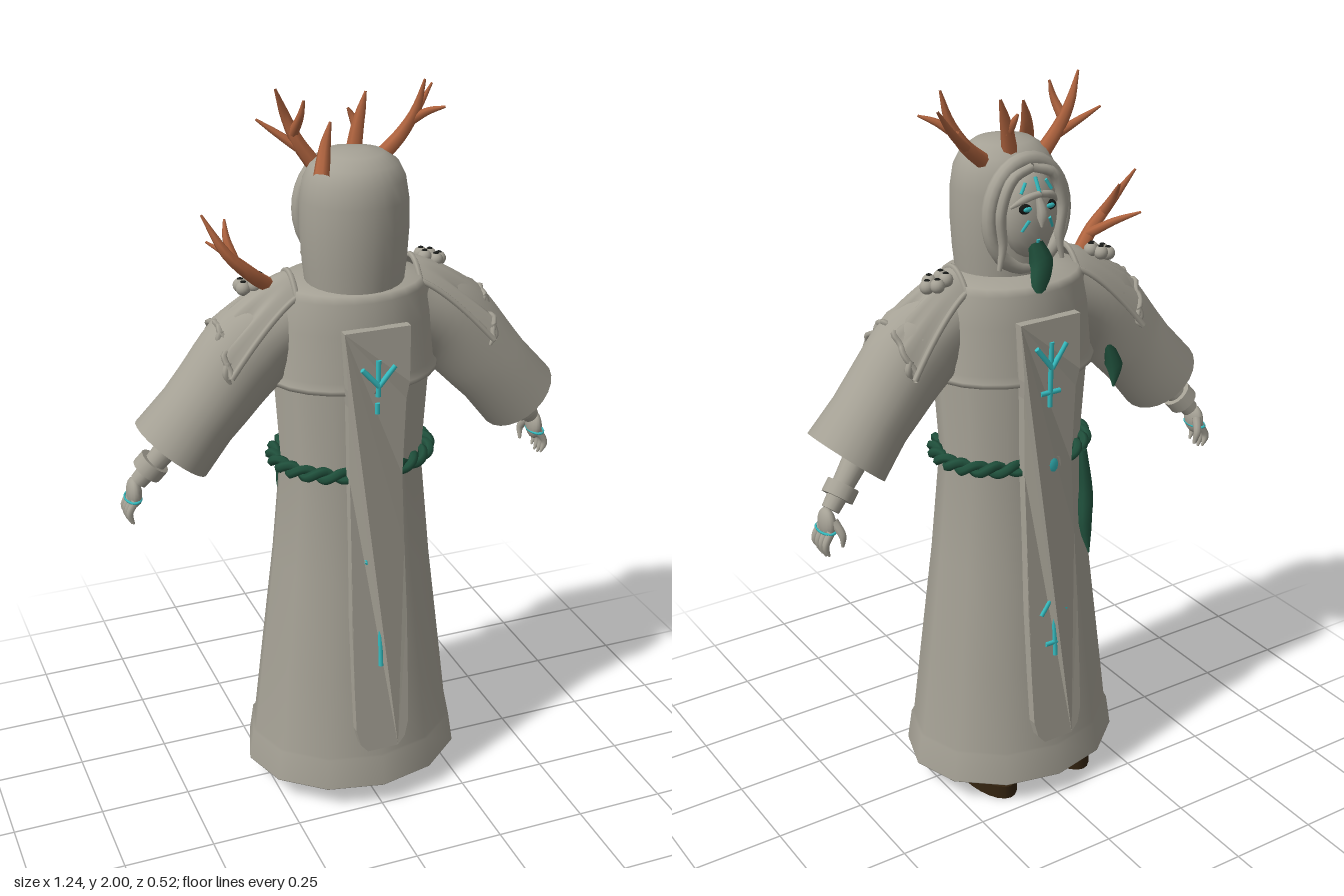
import * as THREE from 'three';

const V = (x, y, z) => new THREE.Vector3(x, y, z);
const mat = (name, color, side = THREE.FrontSide) => {
  const m = new THREE.MeshStandardMaterial({ color, side });
  m.name = name;
  return m;
};
// linear interpolation through [key, value] pairs, keys descending
function lerpTable(table, k) {
  for (let i = 1; i < table.length; i++) {
    const [a, va] = table[i - 1], [b, vb] = table[i];
    if (k >= b) return va + (vb - va) * Math.min(1, Math.max(0, (a - k) / (a - b)));
  }
  return table[table.length - 1][1];
}

// tube whose radius follows a list; flat squeezes each ring in z
function taper(points, radii, { steps = 10, sides = 8, flat = [1, 1] } = {}) {
  const curve = new THREE.CatmullRomCurve3(points.map(p => V(...p)));
  const g = new THREE.TubeGeometry(curve, steps, 1, sides);
  const pos = g.attributes.position, v = V(0, 0, 0);
  for (let i = 0; i <= steps; i++) {
    const t = i / steps, c = curve.getPointAt(t);
    const f = t * (radii.length - 1), k = Math.min(Math.floor(f), radii.length - 2);
    const r = THREE.MathUtils.lerp(radii[k], radii[k + 1], f - k);
    const zf = THREE.MathUtils.lerp(flat[0], flat[1], t);
    for (let j = 0; j <= sides; j++) {
      const n = i * (sides + 1) + j;
      v.fromBufferAttribute(pos, n).sub(c).multiplyScalar(r);
      pos.setXYZ(n, c.x + v.x, c.y + v.y, c.z + v.z * zf);
    }
  }
  return g;
}
function rod(a, b, r0, r1 = r0, sides = 8) {
  const p = V(...a), q = V(...b), d = q.clone().sub(p);
  const g = new THREE.CylinderGeometry(r1, r0, d.length(), sides);
  g.applyQuaternion(new THREE.Quaternion().setFromUnitVectors(V(0, 1, 0), d.normalize()));
  return g.translate(...p.add(q).multiplyScalar(0.5).toArray());
}
const ball = (c, s) => new THREE.SphereGeometry(1, 16, 12).scale(...s).translate(...c);
const lathe = (pts, seg, zs) => new THREE.LatheGeometry(pts.map(p => new THREE.Vector2(...p)), seg).scale(1, 1, zs);

export function createModel() {
  const root = new THREE.Group();
  root.name = 'hoodedFigure';
  const cloth = mat('stoneGrey', 0xa5a195, THREE.DoubleSide);
  const horn = mat('antlerBrown', 0xb0643f);
  const teal = mat('glowTeal', 0x35bcc0);
  const green = mat('mossGreen', 0x1f4f3b, THREE.DoubleSide);
  const sole = mat('darkLeather', 0x33230f);
  const dark = mat('hollowBlack', 0x161816);
  const group = (name, parent = root) => {
    const g = new THREE.Group();
    g.name = name;
    parent.add(g);
    return g;
  };
  const add = (name, geo, m, parent = root) => {
    const mesh = new THREE.Mesh(geo, m);
    mesh.name = name;
    parent.add(mesh);
    return mesh;
  };

  // robe with its hem band, and the short mantle over the chest
  add('robe', lathe([[0, 0.07], [0.31, 0.07], [0.31, 0.072], [0.297, 0.16], [0.29, 0.163], [0.262, 0.4],
    [0.226, 0.7], [0.198, 1.0], [0.214, 1.24], [0.19, 1.46]], 12, 0.84), cloth);
  add('mantle', lathe([[0.212, 1.25], [0.236, 1.246], [0.236, 1.258], [0.226, 1.275], [0.215, 1.4], [0.2, 1.48],
    [0.19, 1.5], [0.12, 1.51], [0, 1.515]], 24, 0.81), cloth);

  // long panels, bent to lie along the robe
  const panelZ = y => lerpTable([[1.42, 0.192], [1.27, 0.202], [1.22, 0.192], [1.0, 0.187], [0.6, 0.218], [0.19, 0.252]], y);
  const outline = [[0.09, 1.42], [0.085, 1.27], [0.08, 1.22], [0.074, 1.0], [0.076, 0.8], [0.08, 0.6], [0.079, 0.4],
    [0.077, 0.26], [0.066, 0.215], [0.045, 0.19]];
  const mirrored = outline.map(([x, y]) => [-x, y]).reverse();
  const panelShape = new THREE.Shape([...outline, ...mirrored].map(p => new THREE.Vector2(...p)));
  const runes = {
    back: [[0, 1.34, 0, 1.24], [-0.045, 1.32, 0, 1.27], [0.045, 1.32, 0, 1.27], [0, 1.22, 0, 1.19],
      [-0.035, 0.77, 0, 0.82], [0.035, 0.77, 0, 0.82], [-0.035, 0.77, 0, 0.72], [0.035, 0.77, 0, 0.72], [0, 0.59, 0, 0.45]],
    front: [[0, 1.36, 0, 1.18], [-0.045, 1.35, 0, 1.29], [0.045, 1.35, 0, 1.29], [-0.03, 1.22, 0.03, 1.22],
      [-0.035, 0.83, 0, 0.88], [0.035, 0.83, 0, 0.88], [-0.035, 0.83, 0, 0.78], [0.035, 0.83, 0, 0.78],
      [0, 0.63, 0, 0.45], [-0.04, 0.58, 0, 0.63], [0.04, 0.58, 0, 0.63], [-0.03, 0.49, 0.03, 0.49]],
  };
  for (const side of ['back', 'front']) {
    const p = group(side + 'Panel');
    if (side === 'front') p.rotation.y = Math.PI;
    const g = new THREE.ExtrudeGeometry(panelShape, { depth: 0.025, bevelEnabled: false });
    const pos = g.attributes.position;
    for (let i = 0; i < pos.count; i++) pos.setZ(i, pos.getZ(i) - 0.025 + panelZ(pos.getY(i)));
    g.computeVertexNormals();
    add('panelCloth', g, cloth, p);
    for (const [x, y, u, w] of runes[side]) {
      add('runeStroke', rod([x, y, panelZ(y)], [u, w, panelZ(w)], 0.007), teal, p);
    }
    if (side === 'front') {
      add('gemSetting', new THREE.TorusGeometry(0.032, 0.007, 8, 24).translate(0, 1.01, 0.19), cloth, p);
      add('gem', ball([0, 1.01, 0.188], [0.03, 0.035, 0.017]), teal, p);
    }
  }

  // twisted rope belt with a hanging tail
  const belt = group('ropeBelt');
  for (let k = 0; k < 2; k++) {
    const pts = [];
    for (let i = 0; i < 96; i++) {
      const a = i / 96 * Math.PI * 2, w = a * 12 + k * Math.PI, r = 0.011 * Math.cos(w);
      pts.push(V((0.212 + r) * Math.sin(a), 1.008 + 0.011 * Math.sin(w), (0.167 + r) * Math.cos(a)));
    }
    add('ropeStrand', new THREE.TubeGeometry(new THREE.CatmullRomCurve3(pts, true), 192, 0.013, 6, true), green, belt);
  }
  add('ropeTail', taper([[-0.13, 1.01, -0.16], [-0.135, 0.9, -0.17], [-0.125, 0.8, -0.185], [-0.135, 0.71, -0.19]],
    [0.012, 0.018, 0.024, 0.02, 0.002], { flat: [0.8, 0.6] }), green, belt);
  add('hangingMoss', taper([[-0.27, 1.26, -0.07], [-0.285, 1.19, -0.08], [-0.285, 1.13, -0.08]], [0.012, 0.025, 0.003]), green);

  // hood, rounded on top
  add('hood', lathe([[0.128, 1.49], [0.136, 1.56], [0.141, 1.64], [0.14, 1.72], [0.132, 1.77], [0.112, 1.81],
    [0.075, 1.835], [0.03, 1.843], [0, 1.843]], 28, 0.93).translate(0, 0, 0.028), cloth);

  // face, built looking along its own +z
  const face = group('face');
  face.rotation.y = Math.PI;
  add('hoodRim', new THREE.TorusGeometry(0.115, 0.018, 10, 32).scale(0.98, 1.2, 1.2).translate(0, 1.667, 0.078), cloth, face);
  add('mask', ball([0, 1.672, 0.09], [0.078, 0.115, 0.05]), cloth, face);
  add('nose', taper([[0, 1.725, 0.132], [0, 1.685, 0.149], [0, 1.65, 0.148]], [0.008, 0.013, 0.015, 0.003]), cloth, face);
  add('foreheadMark', rod([0, 1.77, 0.116], [0, 1.735, 0.136], 0.005), teal, face);
  add('chinMark', rod([0, 1.615, 0.133], [0, 1.59, 0.122], 0.005), teal, face);
  for (const s of [-1, 1]) {
    add('eyeSocket', ball([s * 0.034, 1.697, 0.128], [0.021, 0.014, 0.009]), dark, face);
    add('eye', ball([s * 0.034, 1.697, 0.134], [0.013, 0.007, 0.006]), teal, face);
    add('brow', taper([[0, 1.732, 0.137], [s * 0.035, 1.725, 0.133], [s * 0.068, 1.7, 0.11]], [0.009, 0.01, 0.004]), cloth, face);
    add('cheekMark', rod([s * 0.03, 1.668, 0.137], [s * 0.045, 1.64, 0.126], 0.0045), teal, face);
    add('templeMark', rod([s * 0.03, 1.76, 0.118], [s * 0.045, 1.735, 0.122], 0.0045), teal, face);
    add('hoodFold', taper([[0, 1.79, 0.1], [s * 0.06, 1.77, 0.108], [s * 0.092, 1.69, 0.105], [s * 0.085, 1.6, 0.1],
      [s * 0.095, 1.54, 0.1]], [0.012, 0.014, 0.014, 0.013, 0.006], { steps: 16 }), cloth, face);
  }
  add('mossBeard', taper([[0, 1.6, 0.12], [0.005, 1.55, 0.14], [-0.008, 1.49, 0.152], [0.006, 1.43, 0.158]],
    [0.022, 0.036, 0.03, 0.016, 0.001], { steps: 12, flat: [0.6, 0.35] }), green, face);

  // antlers: a beam and its tines, each a tapering branch
  const antler = (name, branches) => {
    const g = group(name);
    branches.forEach((b, i) => {
      const r = i ? 0.014 : 0.021;
      add(i ? 'tine' : 'beam', taper(b, [r, r * 0.85, r * 0.6, 0.003], { sides: 7 }), horn, g);
    });
  };
  antler('leftAntler', [
    [[0.09, 1.8, -0.02], [0.15, 1.85, -0.03], [0.185, 1.91, -0.02], [0.205, 1.99, -0.01]],
    [[0.14, 1.84, -0.03], [0.2, 1.89, -0.06], [0.255, 1.96, -0.08]],
    [[0.17, 1.88, -0.03], [0.21, 1.91, 0.0], [0.245, 1.925, 0.03]]]);
  antler('leftSpike', [
    [[0.025, 1.82, -0.04], [0.04, 1.88, -0.05], [0.065, 1.96, -0.06]],
    [[0.04, 1.87, -0.05], [0.03, 1.9, -0.065], [0.02, 1.92, -0.07]]]);
  antler('rightAntler', [
    [[-0.09, 1.8, -0.02], [-0.13, 1.86, -0.03], [-0.155, 1.92, -0.04], [-0.185, 1.995, -0.03]],
    [[-0.11, 1.83, -0.02], [-0.165, 1.87, -0.05], [-0.22, 1.91, -0.08]],
    [[-0.14, 1.88, -0.03], [-0.13, 1.93, 0.0], [-0.125, 1.97, 0.01]]]);
  antler('rightSpike', [[[-0.11, 1.8, 0.09], [-0.09, 1.86, 0.06], [-0.07, 1.92, 0.045]]]);
  antler('shoulderAntler', [
    [[-0.22, 1.5, 0.0], [-0.28, 1.55, 0.03], [-0.34, 1.61, 0.03], [-0.39, 1.705, -0.01]],
    [[-0.26, 1.54, 0.02], [-0.31, 1.58, -0.03], [-0.36, 1.61, -0.08]],
    [[-0.32, 1.59, 0.03], [-0.33, 1.64, 0.0], [-0.325, 1.68, -0.03]]]);

  for (const s of [1, -1]) {
    const name = s > 0 ? 'left' : 'right';
    const arm = group(name + 'Arm');
    // flared sleeve with a closed cuff
    add('sleeve', taper([[s * 0.17, 1.4, 0], [s * 0.27, 1.345, 0], [s * 0.39, 1.215, 0], [s * 0.497, 1.09, -0.005]],
      [0.1, 0.128, 0.118, 0.11, 0.114], { steps: 16, sides: 24, flat: [0.65, 1.05] }), cloth, arm);
    add('cuffInside', rod([s * 0.47, 1.122, -0.005], [s * 0.49, 1.098, -0.005], 0.111, 0.112, 24), cloth, arm);
    add('forearm', rod([s * 0.47, 1.11, -0.03], [s * 0.575, 0.985, -0.058], 0.036, 0.024, 14), cloth, arm);
    add('wristBand', rod([s * 0.53, 1.04, -0.048], [s * 0.553, 1.012, -0.055], 0.043, 0.043, 16), cloth, arm);

    // hand, with rings and a band across the knuckles
    add('palm', ball([s * 0.588, 0.953, -0.062], [0.02, 0.042, 0.036]), cloth, arm);
    add('knuckleBand', new THREE.TorusGeometry(1, 0.12, 6, 20).rotateX(Math.PI / 2).scale(0.021, 0.03, 0.038)
      .translate(s * 0.592, 0.938, -0.062), teal, arm);
    for (let i = 0; i < 4; i++) {
      const z = -0.034 - i * 0.019, tip = 0.862 + 0.008 * Math.abs(i - 1.5);
      add('finger', taper([[s * 0.592, 0.94, z], [s * 0.61, 0.905, z * 1.05 + 0.003], [s * 0.6, tip, z]],
        [0.011, 0.01, 0.009, 0.003]), cloth, arm);
    }
    add('thumb', taper([[s * 0.58, 0.965, -0.085], [s * 0.568, 0.93, -0.105], [s * 0.566, 0.895, -0.1]],
      [0.013, 0.011, 0.004]), cloth, arm);

    // ragged shoulder drape, its hem and drips
    const drape = (u, t) => {
      const z = (0.065 + 0.05 * u) * t;
      const ragged = u * u * (0.012 * Math.sin(t * 9) + 0.008 * Math.cos(t * 17));
      return V(s * (0.17 + 0.19 * u + ragged), 1.535 - 0.115 * u ** 1.5 - (0.05 + 0.06 * u) * t * t + ragged * 0.7, z);
    };
    const pad = group(name + 'ShoulderDrape');
    const g = new THREE.PlaneGeometry(1, 1, 28, 10), pos = g.attributes.position;
    for (let i = 0; i < pos.count; i++) pos.setXYZ(i, ...drape(pos.getY(i) + 0.5, pos.getX(i) * 2).toArray());
    g.computeVertexNormals();
    add('drapeCloth', g, cloth, pad);
    const edge = f => new THREE.TubeGeometry(new THREE.CatmullRomCurve3(
      Array.from({ length: 25 }, (_, i) => f(i / 24))), 48, 0.008, 6);
    add('outerHem', edge(k => drape(1, k * 2 - 1)), cloth, pad);
    add('collarHem', edge(k => drape(0, k * 2 - 1)), cloth, pad);
    for (const t of [-1, 1]) add('sideHem', edge(k => drape(k, t)), cloth, pad);
    for (const [t, len] of [[-0.8, 0.05], [-0.2, 0.03], [0.35, 0.045], [0.85, 0.06]]) {
      const p = drape(0.98, t);
      add('drip', taper([[p.x, p.y, p.z], [p.x + s * 0.008, p.y - len / 2, p.z * 1.03], [p.x - s * 0.004, p.y - len, p.z]],
        [0.009, 0.01, 0.004]), cloth, pad);
    }
    // pitted growths on top of the drape
    for (let i = 0; i < 5; i++) {
      const a = i * 1.257, x = s * (s > 0 ? 0.235 : 0.265) + 0.026 * Math.cos(a), z = -0.025 + 0.022 * Math.sin(a);
      const y = 1.525 - Math.abs(Math.abs(x) - 0.2) * 0.3;
      add('growth', ball([x, y, z], [0.019, 0.019, 0.019]), cloth, pad);
      add('growthPit', ball([x, y + 0.0165, z], [0.008, 0.004, 0.008]), dark, pad);
    }

    // shoes
    const shoe = group(name + 'Shoe');
    const disc = (y, h, rx, rz) => new THREE.CylinderGeometry(1, 1, h, 24).scale(rx, 1, rz).translate(s * 0.125, y, -0.055);
    add('sole', disc(0.02, 0.04, 0.066, 0.145), sole, shoe);
    add('upper', ball([s * 0.125, 0.045, -0.055], [0.058, 0.03, 0.132]), cloth, shoe);
    add('ankle', rod([s * 0.125, 0.04, 0], [s * 0.125, 0.1, 0], 0.045, 0.04, 16), cloth, shoe);
  }
  return root;
}
